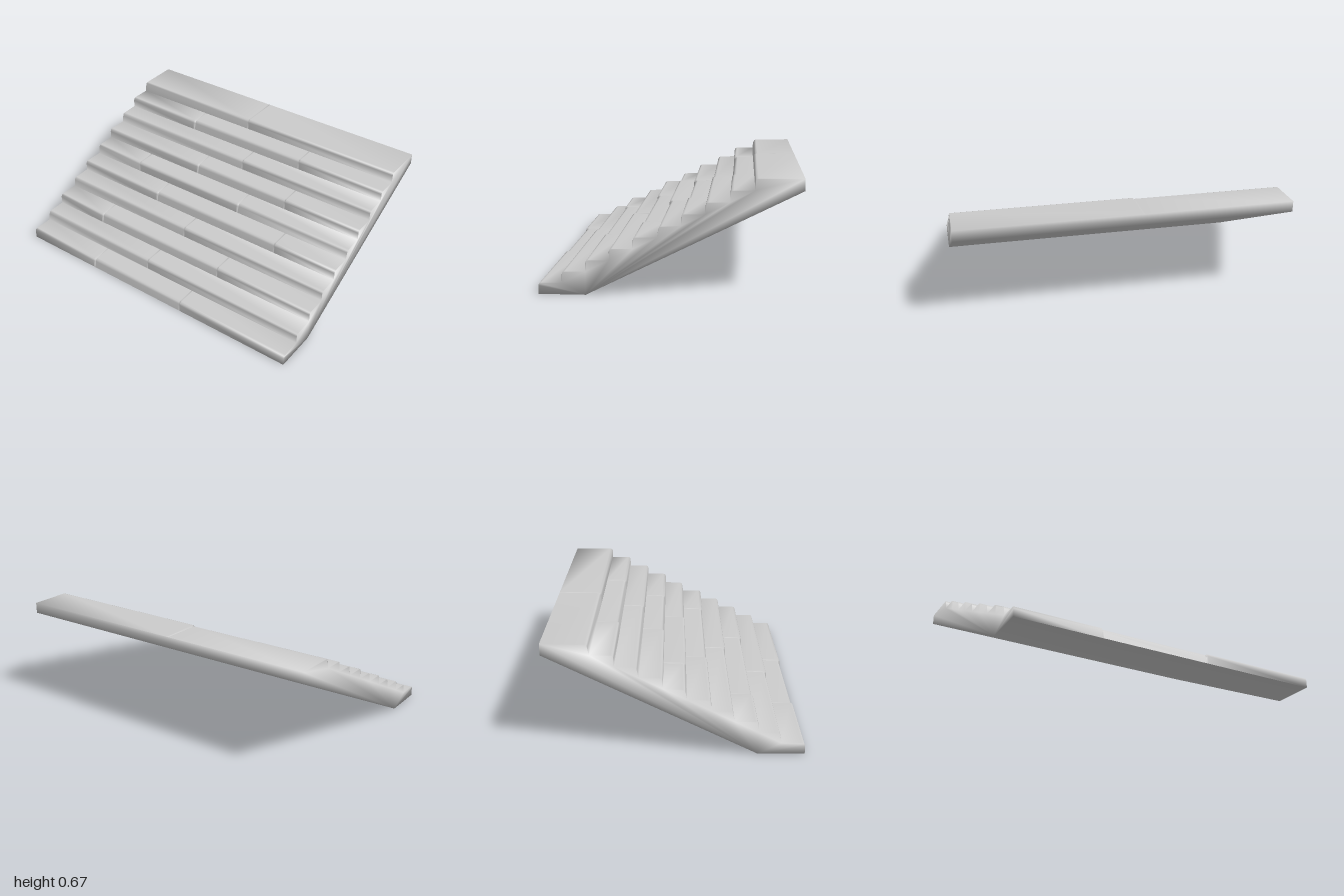
import * as THREE from 'three';
import { mergeVertices } from 'three/addons/utils/BufferGeometryUtils.js';

const RUN = 2 / 15, RISE = 1 / 15, LEFT = -11 / 15, RIGHT = 11 / 15, TOP = 2 / 3;

// Joints between the stone blocks of each step, as z positions
const JOINTS = [
  [-0.46, 0.24], [-0.12], [-0.62, 0.33], [-0.03], [-0.36, 0.57],
  [-0.62, 0.2], [-0.22, 0.47], [0.05], [-0.45, 0.4], [-0.09],
];

// Side profile of one step: foot of riser, rounded nosing, back of tread
function stepProfile(i, inset, drop) {
  const x = LEFT + i * RUN, y = i * RISE, top = y + RISE;
  const back = i === 9 ? RIGHT : x + RUN;
  return [
    [x, y],
    [x + inset, top - 0.018 - drop],
    [x + inset + 0.005, top - 0.005 - drop],
    [x + inset + 0.018, top - drop],
    [back, top],
  ];
}

// Cross-sections along z: blocks alternate flush and set back, with a notch at each joint
function stepSections(i) {
  const block = (n) => ((n + i) % 2 ? [0.008, 0.004] : [0, 0]);
  const sections = [{ z: -1, pts: stepProfile(i, ...block(0)) }];
  JOINTS[i].forEach((z, n) => {
    sections.push({ z: z - 0.007, pts: stepProfile(i, ...block(n)) });
    sections.push({ z, pts: stepProfile(i, 0.014, 0.01) });
    sections.push({ z: z + 0.007, pts: stepProfile(i, ...block(n + 1)) });
  });
  sections.push({ z: 1, pts: stepProfile(i, ...block(JOINTS[i].length)) });
  return sections;
}

// Skin between consecutive cross-sections
function loft(out, sections) {
  for (let s = 0; s + 1 < sections.length; s++) {
    const A = sections[s], B = sections[s + 1];
    for (let k = 0; k + 1 < A.pts.length; k++) {
      const a = [...A.pts[k], A.z], b = [...A.pts[k + 1], A.z];
      const c = [...B.pts[k], B.z], d = [...B.pts[k + 1], B.z];
      out.push(...a, ...c, ...b, ...b, ...c, ...d);
    }
  }
}

// Flat end wall closing the outline at z, facing outwards
function cap(out, outline, z) {
  const pts = outline.map(([x, y]) => new THREE.Vector2(x, y));
  for (const face of THREE.ShapeUtils.triangulateShape(pts, [])) {
    const tri = face.map((n) => pts[n]);
    if (THREE.ShapeUtils.area(tri) * z < 0) tri.reverse();
    tri.forEach((p) => out.push(p.x, p.y, z));
  }
}

export function createModel() {
  const group = new THREE.Group();
  group.name = 'stoneStairs';
  const positions = [];

  // Steps
  const steps = JOINTS.map((_, i) => stepSections(i));
  steps.forEach((sections) => loft(positions, sections));
  const stepCount = positions.length / 3;

  // Back edge, sloping underside and foot
  const under = [[RIGHT, TOP], [RIGHT, 0.6], [LEFT + 2 * RUN, 0], [LEFT, 0]];
  loft(positions, [{ z: -1, pts: under }, { z: 1, pts: under }]);

  // End walls
  for (const z of [-1, 1]) {
    const outline = steps.flatMap((s) => s[z < 0 ? 0 : s.length - 1].pts.slice(0, 4));
    outline.push(...under.slice(0, 3));
    cap(positions, outline, z);
  }

  // Weld everything so the shading runs smoothly round the edges
  let geometry = new THREE.BufferGeometry();
  geometry.setAttribute('position', new THREE.Float32BufferAttribute(positions, 3));
  geometry = mergeVertices(geometry, 1e-4);
  geometry.computeVertexNormals();

  // Separate the welded skin into its two named parts
  const material = new THREE.MeshStandardMaterial({ color: 0xcccccc });
  const index = Array.from(geometry.index.array);
  const parts = { steps: index.slice(0, stepCount), supportSlab: index.slice(stepCount) };
  for (const [name, faces] of Object.entries(parts)) {
    const part = geometry.clone();
    part.setIndex(faces);
    const mesh = new THREE.Mesh(part, material);
    mesh.name = name;
    group.add(mesh);
  }
  return group;
}
